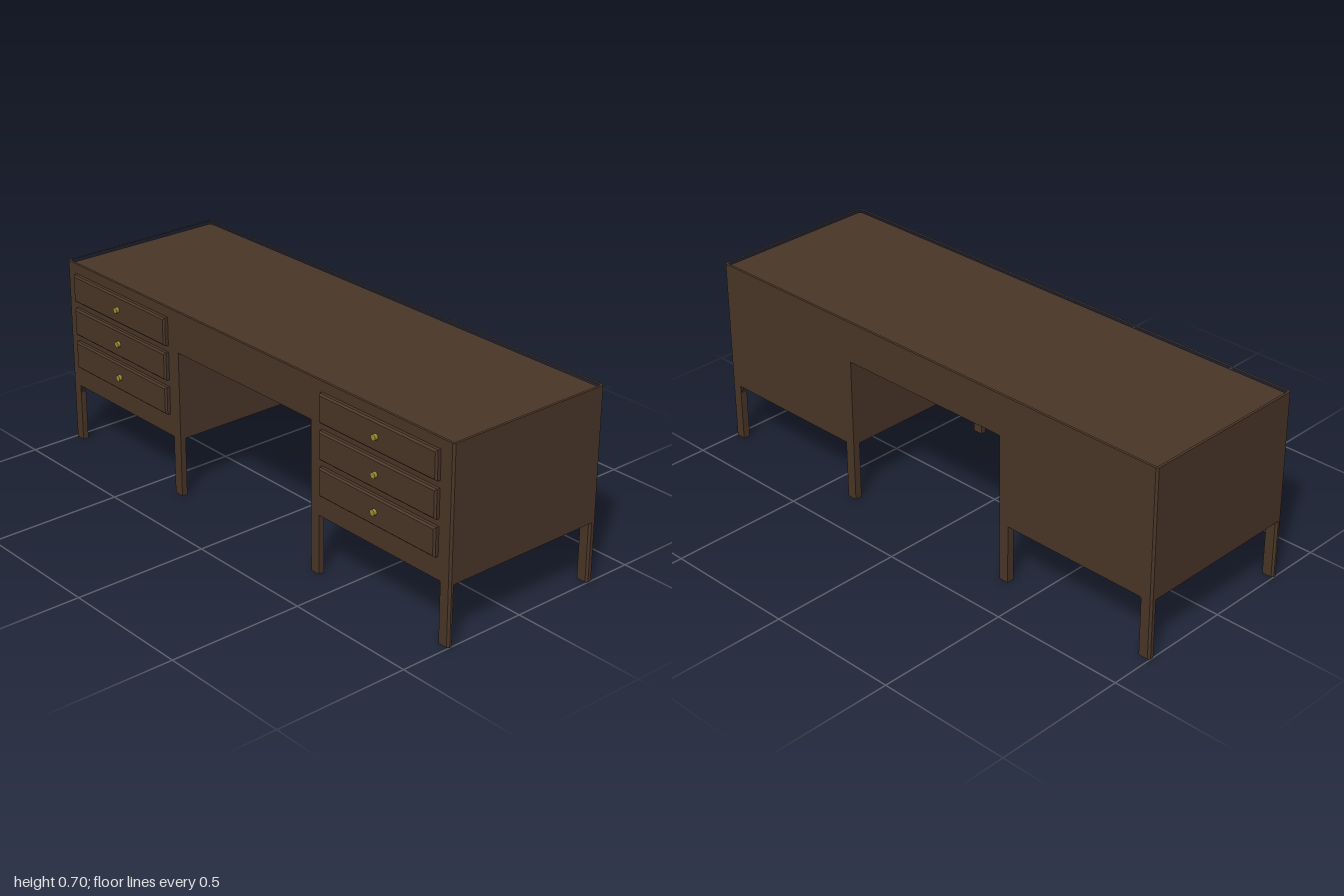
import * as THREE from 'three';

const BACK = -0.34, FRONT = 0.313;
const wood = new THREE.MeshStandardMaterial({ color: 0x4a3628, flatShading: true });
const brass = new THREE.MeshStandardMaterial({ color: 0x9a9030 });

// Plan outline with bevelled corners: cl on the -x side, cr on the +x side
function plan(x0, x1, z0, z1, cl, cr, Type = THREE.Shape) {
  const p = [[x0 + cl, z0], [x1 - cr, z0], [x1, z0 + cr], [x1, z1 - cr],
    [x1 - cr, z1], [x0 + cl, z1], [x0, z1 - cl], [x0, z0 + cl]];
  return new Type(p.map(([x, z]) => new THREE.Vector2(x, -z)));
}

// Raise a plan outline from y0 to y1
function raise(shape, y0, y1) {
  const g = new THREE.ExtrudeGeometry(shape, { depth: y1 - y0, bevelEnabled: false });
  g.rotateX(-Math.PI / 2);
  return g.translate(0, y0, 0);
}

function add(parent, name, geometry, material = wood) {
  const m = new THREE.Mesh(geometry, material);
  m.name = name;
  parent.add(m);
  return m;
}

// Drawer front with a narrow bevel around its face
function drawerGeometry(w, h, d, b) {
  const x = w / 2 - b, y = h / 2 - b;
  const s = new THREE.Shape([[-x, -y], [x, -y], [x, y], [-x, y]].map(a => new THREE.Vector2(...a)));
  return new THREE.ExtrudeGeometry(s, {
    depth: d - b, bevelEnabled: true, bevelSize: b, bevelThickness: b, bevelSegments: 1,
  });
}

// Small triangular bracket in the angle between leg and pedestal floor
function bracketGeometry(w, h, d) {
  const s = new THREE.Shape([[0, 0], [0, -h], [w, 0]].map(a => new THREE.Vector2(...a)));
  return new THREE.ExtrudeGeometry(s, { depth: d, bevelEnabled: false });
}

export function createModel() {
  const desk = new THREE.Group();
  desk.name = 'desk';
  const c = 0.007;

  // Top slab and its slim raised rim
  add(desk, 'topSlab', raise(plan(-1, 1, BACK, FRONT, c, c), 0.55, 0.687));
  const rim = plan(-1, 1, BACK, FRONT, c, c);
  rim.holes.push(plan(-0.991, 0.991, BACK + 0.009, FRONT - 0.009, 0.003, 0.003, THREE.Path));
  add(desk, 'topRim', raise(rim, 0.687, 0.702));

  for (const side of [-1, 1]) {
    const pedestal = new THREE.Group();
    pedestal.name = side > 0 ? 'leftPedestal' : 'rightPedestal';
    desk.add(pedestal);
    const span = (a, b) => side > 0 ? [a, b] : [-b, -a];
    const cl = side > 0 ? 0 : c, cr = side > 0 ? c : 0;
    add(pedestal, 'cabinet', raise(plan(...span(0.35, 1), BACK, FRONT, cl, cr), 0.22, 0.55));

    // Four legs, the outer ones bevelled at the corner
    for (const [z0, z1] of [[BACK, BACK + 0.027], [FRONT - 0.022, FRONT]]) {
      add(pedestal, 'outerLeg', raise(plan(...span(0.957, 1), z0, z1, cl, cr), 0, 0.22));
      add(pedestal, 'innerLeg', raise(plan(...span(0.35, 0.388), z0, z1, 0, 0), 0, 0.22));
      const bracket = add(pedestal, 'legBracket', bracketGeometry(0.011, 0.03, z1 - z0 - 0.008));
      bracket.position.set(side * 0.957, 0.22, z0 + 0.004);
      if (side > 0) {
        bracket.rotation.y = Math.PI;
        bracket.position.z = z1 - 0.004;
      }
    }

    // Three drawers with round knobs
    for (const y of [0.353, 0.483, 0.613]) {
      const drawer = new THREE.Group();
      drawer.name = 'drawer';
      drawer.position.set(side * 0.675, y, FRONT);
      pedestal.add(drawer);
      add(drawer, 'drawerFront', drawerGeometry(0.54, 0.104, 0.018, 0.006));
      const knob = add(drawer, 'knob', new THREE.CylinderGeometry(0.011, 0.011, 0.014, 16), brass);
      knob.rotation.x = Math.PI / 2;
      knob.position.z = 0.022;
    }
  }
  return desk;
}
